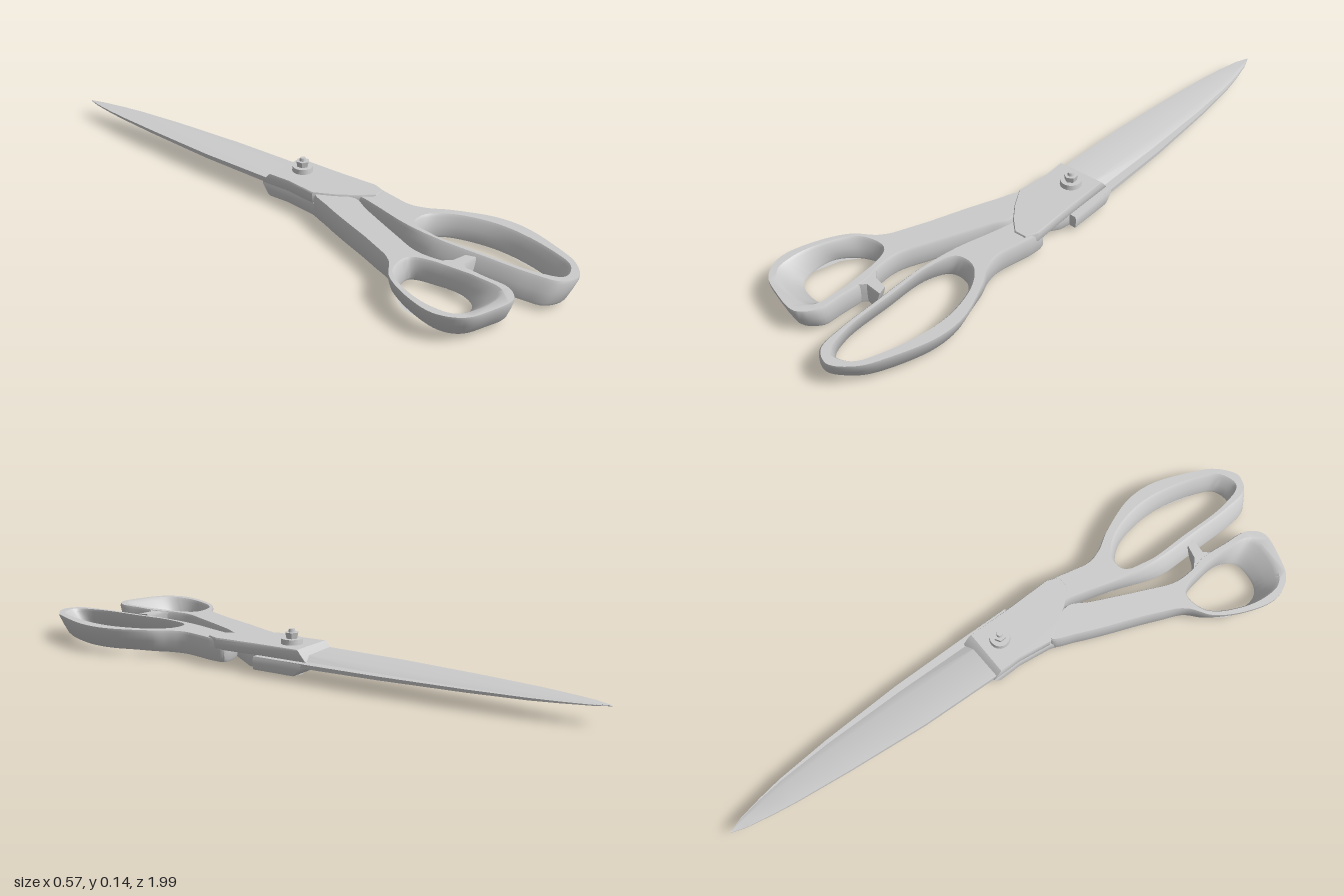
import * as THREE from 'three';
import { toCreasedNormals } from 'three/addons/utils/BufferGeometryUtils.js';

const mat = new THREE.MeshStandardMaterial({ color: 0xcccccc });
const V2 = (p) => new THREE.Vector2(p[0], -p[1]);
const ramp = (v, a, b) => THREE.MathUtils.smoothstep(v, a, b);

function makeMesh(name, geo, x = 0, y = 0, z = 0) {
  const m = new THREE.Mesh(geo, mat);
  m.name = name;
  m.position.set(x, y, z);
  return m;
}

// Closed smooth loop through [x, z] points
function smooth(pts, n) {
  const c = new THREE.CatmullRomCurve3(pts.map((p) => new THREE.Vector3(p[0], 0, p[1])), true);
  return c.getPoints(n).slice(0, n).map((v) => [v.x, v.z]);
}

function finish(pos, idx, crease) {
  const g = new THREE.BufferGeometry();
  g.setAttribute('position', new THREE.Float32BufferAttribute(pos, 3));
  g.setIndex(idx);
  return toCreasedNormals(g, crease);
}

// Joins equal loops of [x, y, z] points, returning the start of each loop
function addWalls(loops, pos, idx) {
  const n = loops[0].length;
  const start = pos.length / 3;
  loops.forEach((l) => l.forEach((p) => pos.push(...p)));
  for (let k = 0; k < loops.length - 1; k++) {
    for (let i = 0; i < n; i++) {
      const a = start + k * n + i, b = start + k * n + (i + 1) % n;
      idx.push(a, b, b + n, a, b + n, a + n);
    }
  }
  return [start, start + (loops.length - 1) * n];
}

// Moves each point of a loop sideways, to the left of its direction
function inset(pts, d) {
  return pts.map((p, i) => {
    const a = pts[(i + pts.length - 1) % pts.length], b = pts[(i + 1) % pts.length];
    const dx = b[0] - a[0], dz = b[1] - a[1], l = Math.hypot(dx, dz) || 1;
    return [p[0] + (dz / l) * d, p[1] - (dx / l) * d];
  });
}

// Solid between y0 and y1. Rings are {top, bottom} loops: the outside, then any hole
function slab(rings, y0, y1, edge, crease = 0.6) {
  const pos = [], idx = [];
  const levels = [[0, edge], [0.12, edge * 0.2], [0.5, 0], [0.88, edge * 0.2], [1, edge]];
  const ends = rings.map(({ top, bottom }, r) => {
    if (THREE.ShapeUtils.isClockWise(top.map(V2)) !== (r > 0)) {
      top = [...top].reverse();
      bottom = [...bottom].reverse();
    }
    rings[r] = { top, bottom };
    const loops = levels.map(([t, d]) => inset(
      top.map((p, i) => [0, 1].map((k) => THREE.MathUtils.lerp(bottom[i][k], p[k], t))), d,
    ).map((p) => [p[0], y0 + (y1 - y0) * t, p[1]]));
    return addWalls(loops, pos, idx);
  });
  const flat = rings.map((r) => r.top.map(V2));
  const ids = [0, 1].map((k) => rings.flatMap((r, j) => r.top.map((_, i) => ends[j][k] + i)));
  for (const [a, b, c] of THREE.ShapeUtils.triangulateShape(flat[0], flat.slice(1))) {
    idx.push(ids[1][a], ids[1][b], ids[1][c], ids[0][a], ids[0][c], ids[0][b]);
  }
  return finish(pos, idx, crease);
}

// Finger loop with its arm: the lower side is drawn in by lean()
function handle(outline, holeTop, holeBottom, lean) {
  const top = smooth(outline, 110);
  return slab([
    { top, bottom: top.map(lean) },
    { top: smooth(holeTop, 64), bottom: smooth(holeBottom, 64) },
  ], 0.016, 0.087, 0.005);
}

// Blade with a thick spine, a flat inner face and a ground cutting edge
function blade(stations, y0, dir) {
  const loops = stations.map(([z, spine, edge, t]) => {
    const ridge = THREE.MathUtils.lerp(spine, edge, 0.8);
    return [[spine, y0, z], [spine, y0 + dir * t, z], [ridge, y0 + dir * t * 0.85, z],
      [edge, y0 + dir * 0.001, z]];
  });
  const pos = [], idx = [];
  addWalls(loops, pos, idx);
  return finish(pos, idx, 0.4);
}

export function createModel() {
  const group = new THREE.Group();

  // Blades
  group.add(makeMesh('upperBlade', blade([
    [-0.04, 0.062, 0.207, 0.017], [-0.34, 0.074, 0.214, 0.014], [-0.61, 0.099, 0.214, 0.011],
    [-0.79, 0.12, 0.206, 0.008], [-0.87, 0.133, 0.197, 0.006], [-0.95, 0.149, 0.183, 0.004],
    [-1, 0.166, 0.168, 0.001]], 0.057, 1)));
  group.add(makeMesh('lowerBlade', blade([
    [-0.04, 0.235, 0.07, 0.013], [-0.34, 0.237, 0.08, 0.011], [-0.61, 0.227, 0.104, 0.009],
    [-0.79, 0.213, 0.125, 0.007], [-0.87, 0.201, 0.137, 0.005], [-0.95, 0.185, 0.151, 0.003],
    [-1, 0.168, 0.166, 0.001]], 0.0565, -1)));

  // Pivot blocks, each sloping down to its blade
  const slope = (p) => [p[0], p[1] < -0.05 ? p[1] + 0.03 : p[1]];
  const upper = [[0.06, -0.085], [0.06, 0.02], [0.045, 0.13], [0.08, 0.195], [0.12, 0.25],
    [0.16, 0.29], [0.2, 0.29], [0.217, 0.25], [0.215, 0.1], [0.217, -0.085]];
  const lower = [[0.06, -0.085], [0.06, 0.02], [0.045, 0.13], [0.03, 0.17], [0.06, 0.25],
    [0.11, 0.26], [0.205, 0.13], [0.212, 0.095], [0.235, 0.095], [0.237, -0.085]];
  group.add(makeMesh('upperPivotBlock',
    slab([{ top: upper.map(slope), bottom: upper }], 0.056, 0.092, 0.003)));
  group.add(makeMesh('lowerPivotBlock',
    slab([{ top: lower, bottom: lower.map(slope) }], 0.016, 0.057, 0.003)));

  // Large handle for the fingers
  group.add(makeMesh('fingerHandle', handle(
    [[0.13, 0.23], [0.21, 0.22], [0.213, 0.27], [0.2, 0.33], [0.187, 0.4], [0.2, 0.45],
      [0.235, 0.51], [0.283, 0.64], [0.282, 0.74], [0.235, 0.87], [0.19, 0.95], [0.12, 0.995],
      [0.065, 0.965], [0.05, 0.88], [0.049, 0.74], [0.05, 0.58], [0.068, 0.45], [0.1, 0.34],
      [0.12, 0.27]],
    [[0.1, 0.475], [0.155, 0.475], [0.205, 0.53], [0.237, 0.64], [0.234, 0.74], [0.198, 0.87],
      [0.16, 0.94], [0.1, 0.955], [0.073, 0.87], [0.071, 0.7], [0.073, 0.55]],
    [[0.085, 0.485], [0.14, 0.485], [0.185, 0.53], [0.213, 0.64], [0.21, 0.74], [0.177, 0.86],
      [0.145, 0.915], [0.075, 0.92], [0.046, 0.86], [0.044, 0.7], [0.05, 0.55]],
    ([x, z]) => [x - 0.032 * ramp(z, 0.4, 0.6), z - 0.025 * ramp(z, 0.85, 1)],
  )));

  // Small handle for the thumb
  group.add(makeMesh('thumbHandle', handle(
    [[0.05, 0.135], [0.01, 0.21], [-0.025, 0.29], [-0.09, 0.45], [-0.135, 0.535], [-0.21, 0.59],
      [-0.268, 0.69], [-0.29, 0.79], [-0.255, 0.865], [-0.18, 0.9], [-0.09, 0.916],
      [-0.045, 0.875], [-0.035, 0.79], [-0.028, 0.7], [-0.04, 0.635], [-0.038, 0.57],
      [0, 0.48], [0.075, 0.32], [0.112, 0.245]],
    [[-0.175, 0.588], [-0.09, 0.578], [-0.062, 0.66], [-0.06, 0.78], [-0.078, 0.865],
      [-0.17, 0.868], [-0.245, 0.83], [-0.256, 0.77], [-0.235, 0.68]],
    [[-0.155, 0.595], [-0.09, 0.585], [-0.068, 0.66], [-0.067, 0.74], [-0.1, 0.79],
      [-0.175, 0.79], [-0.21, 0.77], [-0.225, 0.72], [-0.215, 0.65]],
    ([x, z]) => [x + 0.036 * ramp(-x, 0.05, 0.25) * ramp(z, 0.45, 0.6),
      z - 0.025 * ramp(z, 0.8, 0.92)],
  )));

  // Stop between the handles
  const stop = [[-0.045, 0.65], [-0.015, 0.675], [0.032, 0.687], [0.04, 0.72], [-0.015, 0.715],
    [-0.045, 0.74]];
  group.add(makeMesh('handleStop', slab([{
    top: stop, bottom: stop.map(([x, z]) => [x > 0 ? x - 0.025 : x, z]),
  }], 0.02, 0.085, 0.003)));

  // Pivot bolt: washer, hexagonal nut, threaded end and slotted head
  const bolt = new THREE.Group();
  bolt.name = 'pivotBolt';
  bolt.position.set(0.149, 0, 0.01);
  const disc = (name, r0, r1, y0, y1, sides) => bolt.add(makeMesh(name, toCreasedNormals(
    new THREE.CylinderGeometry(r1, r0, y1 - y0, sides), 0.5), 0, (y0 + y1) / 2, 0));
  disc('washer', 0.034, 0.032, 0.088, 0.108, 20);
  disc('nut', 0.018, 0.022, 0.106, 0.127, 6);
  disc('boltEnd', 0.011, 0.009, 0.125, 0.137, 12);
  disc('headBase', 0.036, 0.04, 0.007, 0.02, 20);
  for (const turn of [0, Math.PI]) {
    const half = new THREE.Shape().absarc(0, 0, 0.036, 0.14, Math.PI - 0.14, false);
    const geo = new THREE.ExtrudeGeometry(half, { depth: 0.008, bevelEnabled: false, curveSegments: 10 });
    geo.rotateX(-Math.PI / 2).rotateY(turn + 0.3);
    bolt.add(makeMesh('headHalf', geo));
  }
  group.add(bolt);
  return group;
}
